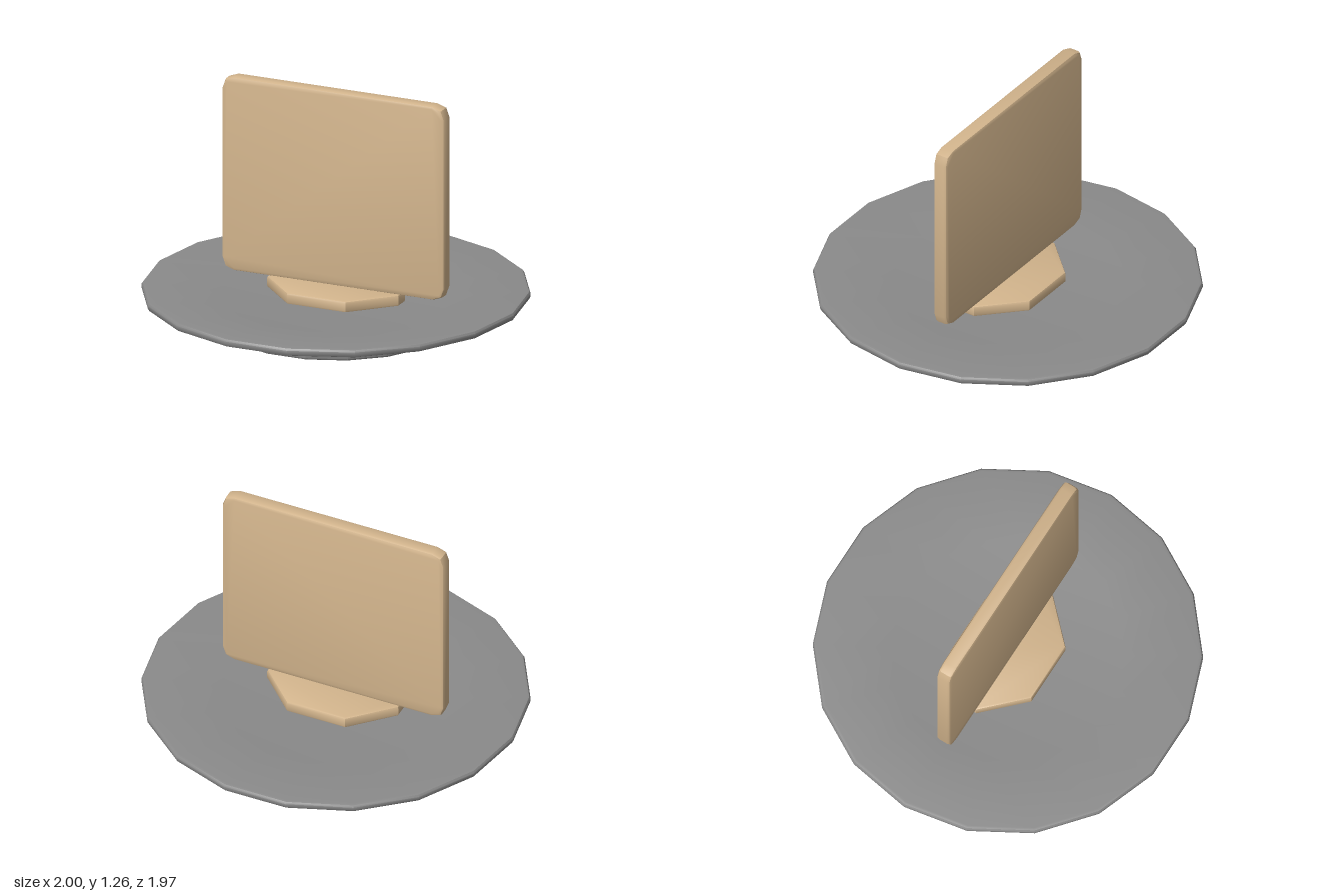
import * as THREE from 'three';
import { toCreasedNormals } from 'three/addons/utils/BufferGeometryUtils.js';

const SIDES = 18;
const vec = ([x, y]) => new THREE.Vector2(x, y);
const finish = (geometry) => toCreasedNormals(geometry, Math.PI / 5);

// Turned part with a vertex on the +x axis
function turned(profile) {
  return finish(new THREE.LatheGeometry(profile.map(vec), SIDES, Math.PI / 2));
}

// Bevelled slab centred on its own thickness; corner points of one quadrant are mirrored
function slab(quadrant, thickness, bevel) {
  const back = [...quadrant].reverse();
  const outline = [
    ...quadrant,
    ...back.map(([x, y]) => [-x, y]),
    ...quadrant.map(([x, y]) => [-x, -y]),
    ...back.map(([x, y]) => [x, -y]),
  ];
  const geometry = new THREE.ExtrudeGeometry(new THREE.Shape(outline.map(vec)), {
    depth: thickness - 2 * bevel,
    bevelThickness: bevel,
    bevelSize: bevel,
    bevelOffset: -bevel,
    bevelSegments: 2,
  });
  geometry.translate(0, 0, bevel - thickness / 2);
  return finish(geometry);
}

export function createModel() {
  const model = new THREE.Group();
  const grey = new THREE.MeshStandardMaterial({ color: 0x8a8a8a });
  const tan = new THREE.MeshStandardMaterial({ color: 0xd2b48c });

  const add = (name, geometry, material) => {
    const mesh = new THREE.Mesh(geometry, material);
    mesh.name = name;
    model.add(mesh);
    return mesh;
  };

  // Shallow dish with a flat centre and a rounded rim
  add('plate', turned([
    [0, 0.11], [0.62, 0.11], [0.975, 0.143], [0.993, 0.15], [1, 0.163],
    [1, 0.177], [0.993, 0.187], [0.98, 0.19], [0.6, 0.15], [0, 0.15],
  ]), grey);

  // Hollow foot ring under the dish
  add('footRing', turned([
    [0.557, 0.12], [0.557, 0.012], [0.561, 0.004], [0.57, 0], [0.612, 0],
    [0.622, 0.004], [0.627, 0.012], [0.627, 0.12],
  ]), grey);

  // Eight-sided block lying in the dish
  const block = add('supportBlock', slab([[0.37, 0.04], [0.165, 0.245]], 0.062, 0.012), tan);
  block.rotation.x = -Math.PI / 2;
  block.position.y = 0.176;

  // Upright board with clipped round corners
  const board = add('board', slab([[0.626, 0.457], [0.608, 0.507], [0.558, 0.525]], 0.08, 0.016), tan);
  board.position.y = 0.731;

  return model;
}
